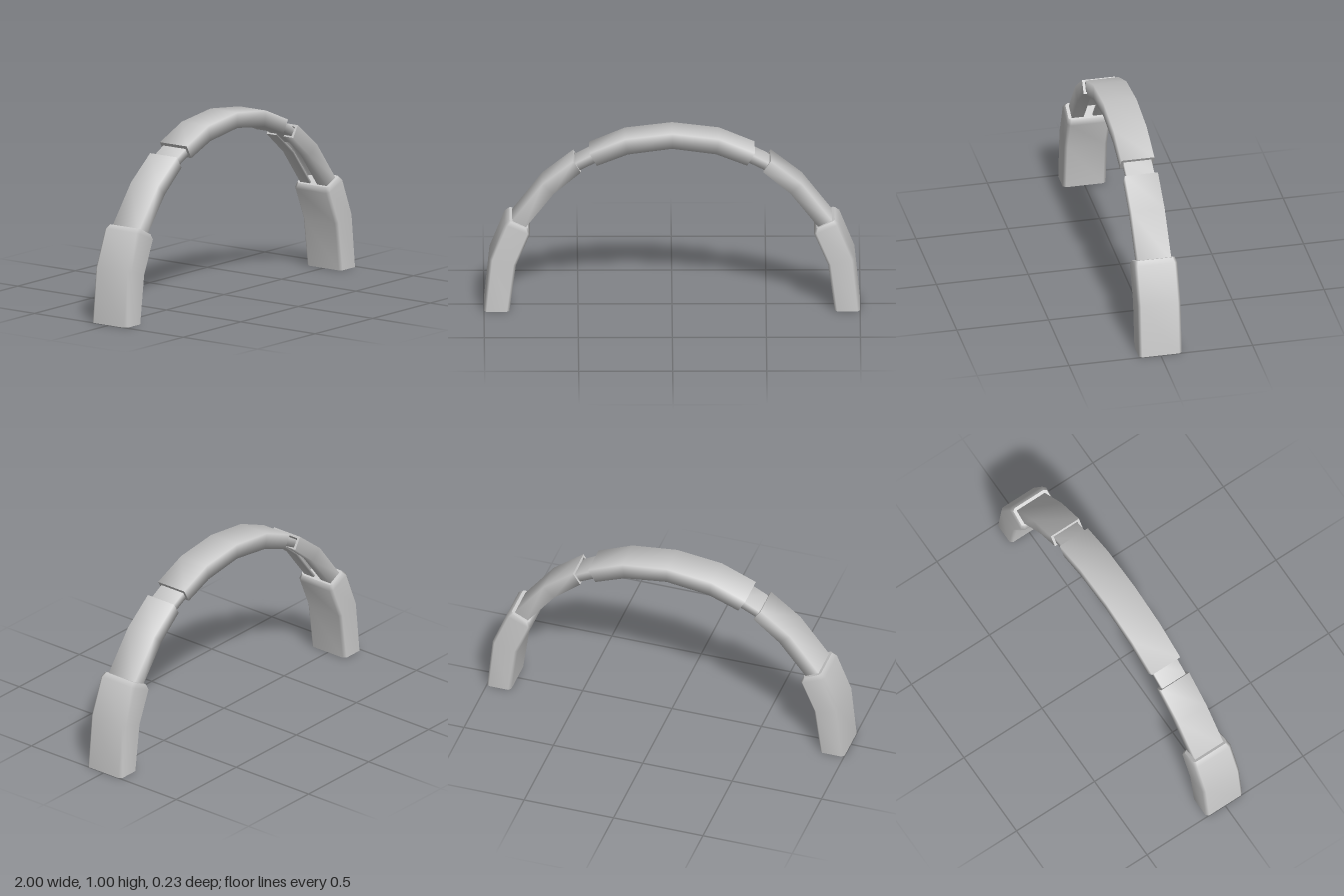
import * as THREE from 'three';

const material = new THREE.MeshStandardMaterial({ color: 0xcccccc });

// Sweep a closed section of [u, z] points along stations.
// Each station is [innerX, innerY, outerX, outerY, zScale]; u runs from inner (0) to outer (1).
function sweep(name, section, stations) {
  const n = section.length;
  const rings = stations.map(([ix, iy, ox, oy, s = 1]) =>
    section.map(([u, z]) => [ix + (ox - ix) * u, iy + (oy - iy) * u, z * s]));
  const positions = rings.flat(2);
  const index = [];
  for (let k = 0; k < rings.length - 1; k++) {
    for (let j = 0; j < n; j++) {
      const a = k * n + j, b = k * n + (j + 1) % n;
      index.push(a, b, a + n, b, b + n, a + n);
    }
  }
  // End caps with their own vertices, so that their edges stay sharp
  const outline = section.map(([u, z]) => new THREE.Vector2(z, u));
  const faces = THREE.ShapeUtils.triangulateShape(outline, []);
  [rings[0], rings[rings.length - 1]].forEach((ring, end) => {
    const base = positions.length / 3;
    positions.push(...ring.flat());
    for (const f of faces) {
      const ccw = THREE.ShapeUtils.area(f.map((i) => outline[i])) > 0;
      const [a, b, c] = ccw === (end === 0) ? f : [f[0], f[2], f[1]];
      index.push(base + a, base + b, base + c);
    }
  });
  const geometry = new THREE.BufferGeometry();
  geometry.setAttribute('position', new THREE.Float32BufferAttribute(positions, 3));
  geometry.setIndex(index);
  geometry.computeVertexNormals();
  const mesh = new THREE.Mesh(geometry, material);
  mesh.name = name;
  return mesh;
}

// Rectangular section of half width h
const rect = (h) => [[1, -h], [1, h], [0, h], [0, -h]];

// Rectangular section with chamfered corners
const chamfered = (h, cu, cz) => [
  [1, cz - h], [1, h - cz], [1 - cu, h], [cu, h],
  [0, h - cz], [0, cz - h], [cu, -h], [1 - cu, -h],
];

// Hollow channel with a slot of half width g along its inner side
const channel = (h, wall, t, g) => [
  [1, -h], [1, h], [0, h], [0, g], [t, g], [t, h - wall], [1 - t, h - wall],
  [1 - t, wall - h], [t, wall - h], [t, -g], [0, -g], [0, -h],
];

function createSide(name) {
  const side = new THREE.Group();
  side.name = name;
  side.add(
    // Flat slider joining the top band to the arm
    sweep('slider', rect(0.075), [
      [0.36, 0.856, 0.38, 0.899],
      [0.485, 0.793, 0.505, 0.833],
      [0.555, 0.735, 0.582, 0.768],
    ]),
    // Slotted arm
    sweep('slottedArm', channel(0.09, 0.014, 0.17, 0.025), [
      [0.485, 0.782, 0.525, 0.845],
      [0.63, 0.66, 0.69, 0.715],
      [0.79, 0.455, 0.863, 0.49],
    ]),
    // Thick lower end piece with a bevelled top
    sweep('endPiece', chamfered(0.117, 0.1, 0.016), [
      [0.767, 0.467, 0.865, 0.515, 0.92],
      [0.755, 0.437, 0.89, 0.495],
      [0.83, 0.26, 0.97, 0.295],
      [0.865, 0, 1, 0],
    ]),
  );
  return side;
}

export function createModel() {
  const model = new THREE.Group();
  model.name = 'headband';

  // Top band, mirrored about the middle
  const half = [[0.4, 0.82, 0.44, 0.89], [0.235, 0.885, 0.25, 0.97]];
  const mirrored = half.map(([ix, iy, ox, oy]) => [-ix, iy, -ox, oy]);
  model.add(sweep('topBand', rect(0.09), [...mirrored, [0, 0.917, 0, 1], ...half.reverse()]));

  // The two sides are half a turn apart
  const left = createSide('leftSide');
  const right = createSide('rightSide');
  right.rotation.y = Math.PI;
  model.add(left, right);
  return model;
}
